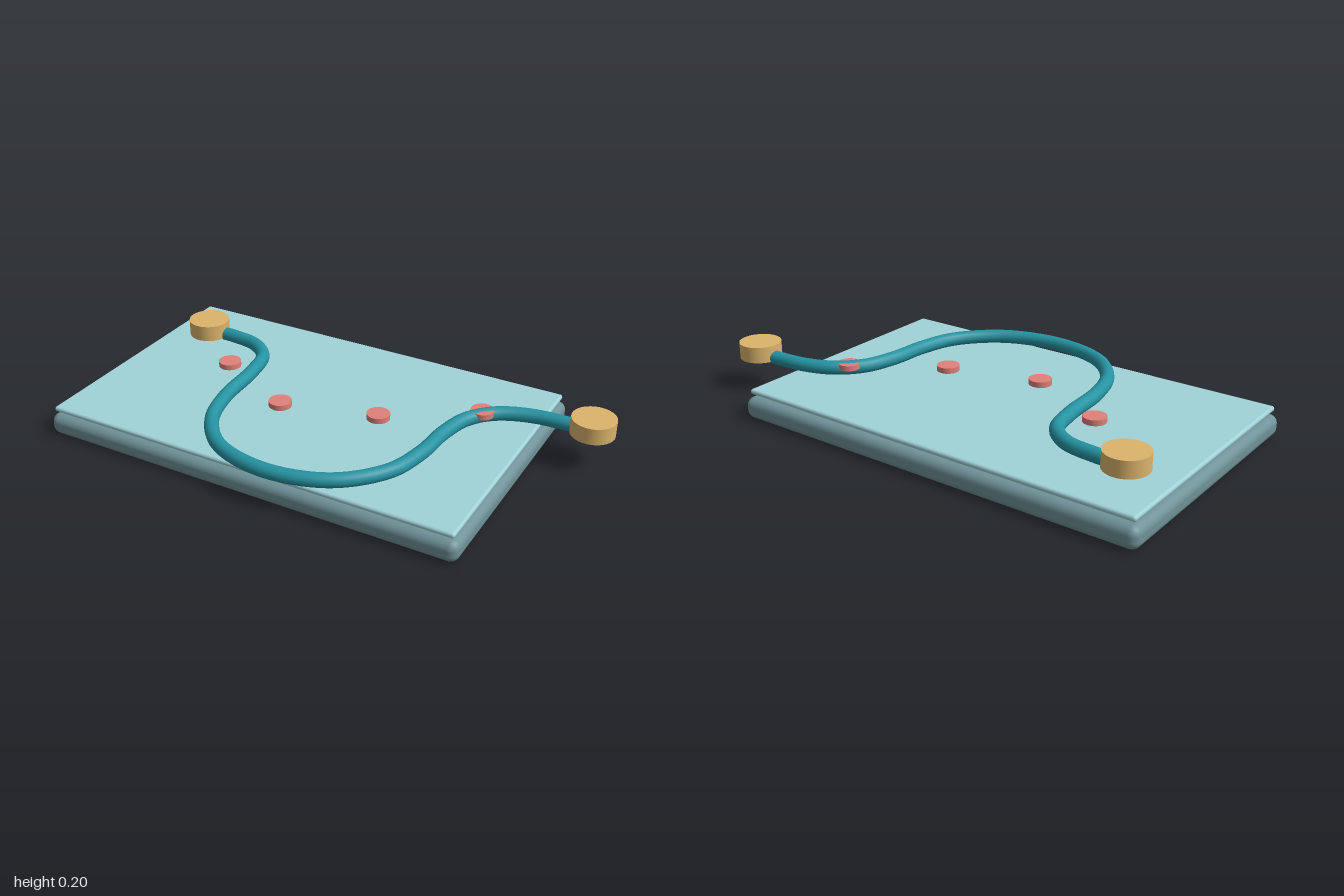
import * as THREE from 'three';
import { RoundedBoxGeometry } from 'three/addons/geometries/RoundedBoxGeometry.js';

const mat = (color) => new THREE.MeshStandardMaterial({ color });

export function createModel() {
  const model = new THREE.Group();
  const add = (name, geometry, material, x, y, z) => {
    const mesh = new THREE.Mesh(geometry, material);
    mesh.name = name;
    mesh.position.set(x, y, z);
    model.add(mesh);
  };

  // Thick rounded base with a thin plate floating just above it
  add('base', new RoundedBoxGeometry(1.73, 0.086, 1.09, 4, 0.034), mat(0x6f9298), -0.135, 0.043, -0.015);
  add('plate', new RoundedBoxGeometry(1.695, 0.021, 1.055, 3, 0.01), mat(0xa0d2d8), -0.135, 0.108, -0.013);

  // Curved tube lying on the plate, given as [x, z] points
  const path = [
    [-0.76, -0.293], [-0.68, -0.29], [-0.56, -0.268], [-0.473, -0.195], [-0.438, -0.055],
    [-0.42, 0.16], [-0.366, 0.33], [-0.235, 0.47], [-0.005, 0.527], [0.225, 0.47],
    [0.375, 0.32], [0.422, 0.16], [0.435, 0], [0.47, -0.134], [0.548, -0.225],
    [0.67, -0.276], [0.86, -0.292],
  ].map(([x, z]) => new THREE.Vector3(x, 0, z));
  const tubeMat = mat(0x2593a2);
  const radius = 0.028;
  const curve = new THREE.CatmullRomCurve3(path);
  add('tube', new THREE.TubeGeometry(curve, 128, radius, 16), tubeMat, 0, 0.146, 0);

  // Flat discs closing the tube ends
  for (const [end, sign] of [[path[0], -1], [path[path.length - 1], 1]]) {
    const disc = new THREE.CircleGeometry(radius, 16).rotateY(sign * Math.PI / 2);
    add('tubeEnd', disc, tubeMat, end.x, 0.146, end.z);
  }

  // Round knobs at both ends of the tube
  const knobMat = mat(0xdcb46c);
  for (const x of [-0.805, 0.912]) {
    add('endKnob', new THREE.CylinderGeometry(0.085, 0.085, 0.066, 40), knobMat, x, 0.166, -0.29);
  }

  // Small marker discs
  const markerMat = mat(0xdf8079);
  for (const [x, z] of [[-0.545, -0.06], [-0.195, 0.117], [0.178, 0.02], [0.51, -0.195]]) {
    add('marker', new THREE.CylinderGeometry(0.045, 0.045, 0.022, 32), markerMat, x, 0.158, z);
  }

  return model;
}
